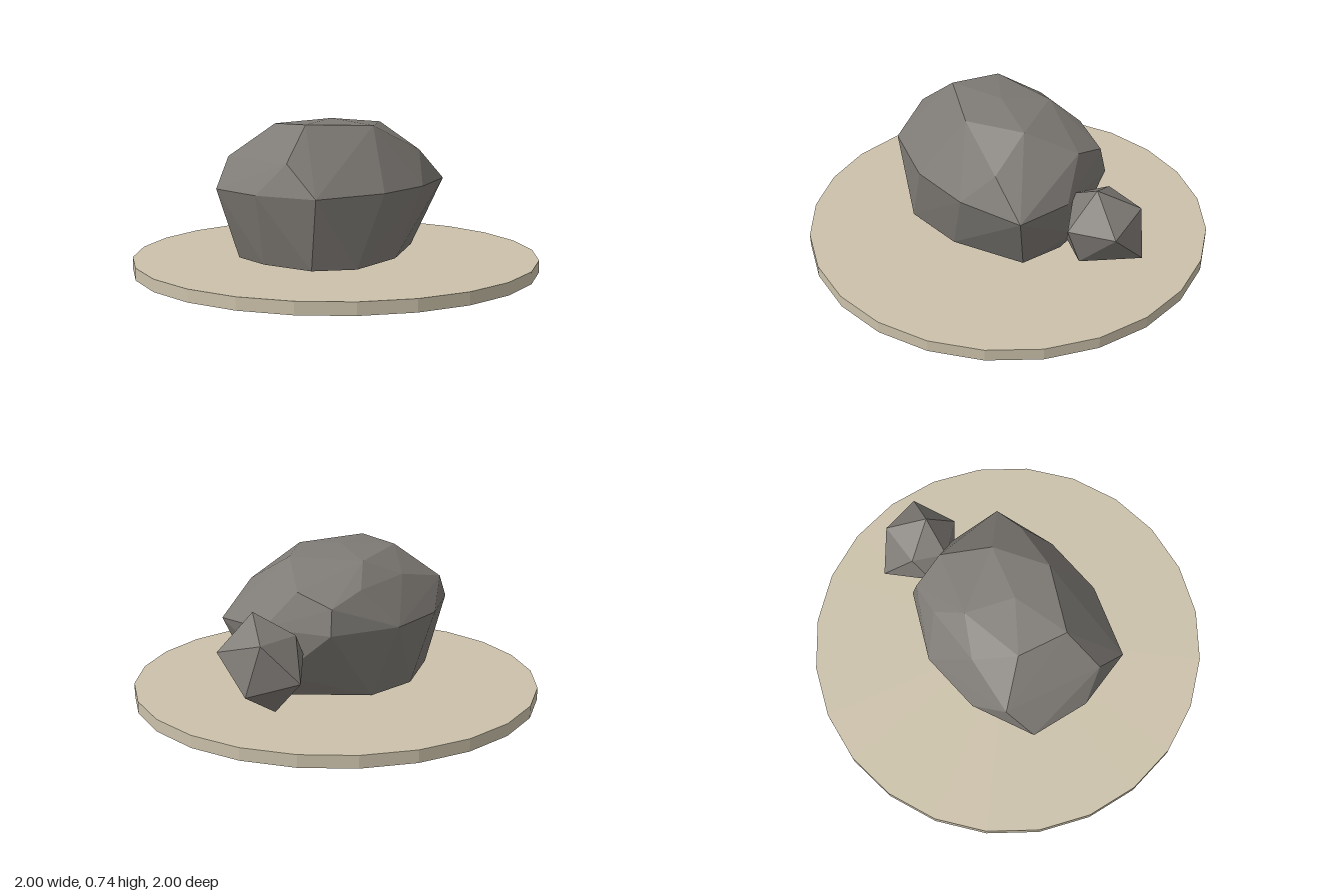
import * as THREE from 'three';
import { ConvexGeometry } from 'three/addons/geometries/ConvexGeometry.js';

const sand = new THREE.MeshStandardMaterial({ color: 0xcbc1aa, flatShading: true });
sand.name = 'sand';
const stone = new THREE.MeshStandardMaterial({ color: 0x7e7a75, flatShading: true });
stone.name = 'stone';

// A faceted boulder: the hull around a few corner points
function rock(name, corners) {
  const points = corners.map(([x, y, z]) => new THREE.Vector3(x, y, z));
  const mesh = new THREE.Mesh(new ConvexGeometry(points), stone);
  mesh.name = name;
  return mesh;
}

// Puts a ring of [x, z] corners at one height
const ring = (y, corners) => corners.map(([x, z]) => [x, y, z]);

export function createModel() {
  const model = new THREE.Group();
  model.name = 'rocksOnBase';

  // Round ground disc
  const disc = new THREE.Mesh(new THREE.CylinderGeometry(1, 1, 0.06, 24), sand);
  disc.name = 'groundDisc';
  disc.position.y = 0.03;
  model.add(disc);

  // Large boulder: flat bottom, widest ring, shoulder and crown
  model.add(rock('largeRock', [
    ...ring(0.08, [[-0.19, 0.44], [0.11, 0.34], [0.4, 0.1], [0.36, -0.12],
      [0.05, -0.36], [-0.22, -0.32], [-0.49, -0.11], [-0.48, 0.1], [-0.38, 0.35]]),
    [0.43, 0.2, -0.16],
    ...ring(0.42, [[-0.6, -0.13], [-0.35, -0.34], [-0.05, -0.44], [0.3, -0.38],
      [0.48, -0.09], [0.54, 0.18], [0.26, 0.36], [-0.04, 0.45], [-0.41, 0.43], [-0.56, 0.16]]),
    [-0.46, 0.57, 0.27], [-0.48, 0.56, -0.22], [-0.2, 0.62, -0.27], [0.1, 0.6, -0.34],
    [0.28, 0.54, -0.36], [0.36, 0.6, -0.2], [0.35, 0.58, 0.22],
    [-0.29, 0.73, 0.17], [-0.3, 0.72, -0.08], [-0.04, 0.74, 0.02],
    [0.05, 0.715, 0.24], [0.25, 0.71, 0.03], [0, 0.7, -0.22],
  ]));

  // Small boulder leaning beside it
  model.add(rock('smallRock', [
    [0.59, 0.54, -0.18], [0.78, 0.385, -0.18], [0.6, 0.36, -0.03], [0.67, 0.44, -0.37],
    [0.74, 0.21, -0.35], [0.61, 0.18, -0.09], [0.54, 0.08, -0.28], [0.52, 0.26, -0.46],
    [0.44, 0.19, -0.11], [0.42, 0.43, -0.15], [0.37, 0.32, -0.26], [0.45, 0.44, -0.32],
  ]));

  return model;
}
